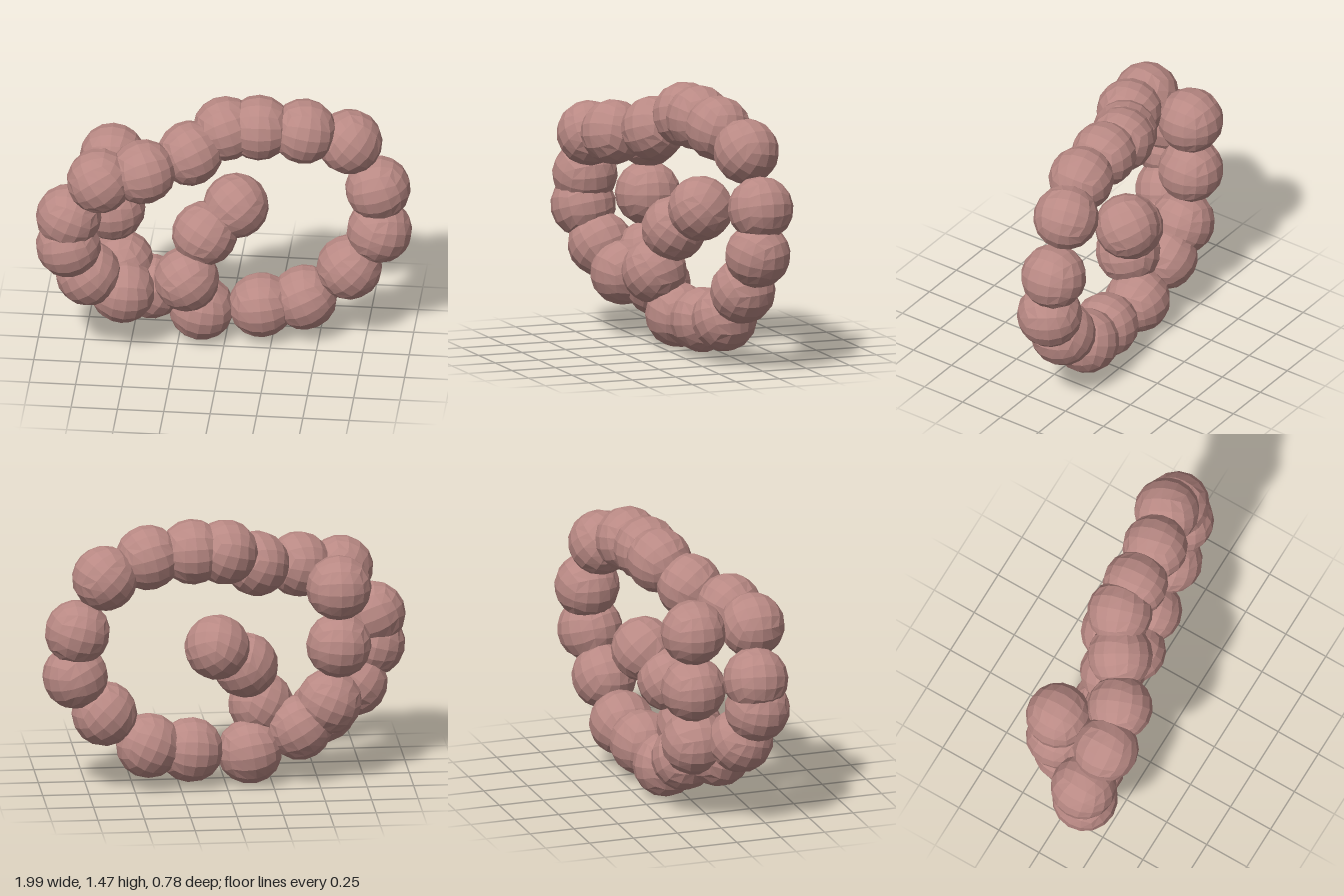
import * as THREE from 'three';
import { mergeVertices } from 'three/addons/utils/BufferGeometryUtils.js';

const RADIUS = 0.177;

// Bead centres along the open, overlapping strand, from the inner end to the outer end
const CENTRES = [
  [0.05, 0.78, -0.16], [-0.11, 0.65, -0.07], [-0.2, 0.41, 0.01],
  [-0.54, 0.35, 0.06], [-0.72, 0.48, 0.12], [-0.82, 0.68, 0.18],
  [-0.82, 0.85, 0.17], [-0.65, 1.1, 0.21], [-0.42, 1.14, 0.16],
  [-0.18, 1.19, 0.02], [0, 1.29, -0.09], [0.18, 1.3, -0.1],
  [0.42, 1.28, -0.12], [0.66, 1.19, -0.19], [0.81, 0.9, -0.215],
  [0.82, 0.65, -0.195], [0.66, 0.43, -0.17], [0.42, 0.24, -0.155],
  [0.19, 0.2, -0.12], [-0.13, 0.177, -0.1], [-0.4, 0.3, -0.09],
  [-0.56, 0.44, -0.09], [-0.61, 0.76, -0.11], [-0.61, 1.08, -0.11],
].map((c) => new THREE.Vector3(...c));

// Low-poly ball: a subdivided cube pushed out to a sphere
function beadGeometry() {
  let g = new THREE.BoxGeometry(2, 2, 2, 4, 4, 4);
  g.deleteAttribute('uv');
  g.deleteAttribute('normal');
  g = mergeVertices(g);
  const p = g.attributes.position;
  const v = new THREE.Vector3();
  for (let i = 0; i < p.count; i++) {
    v.fromBufferAttribute(p, i);
    // tan spacing keeps the facets even
    v.set(...v.toArray().map((t) => Math.tan((t * Math.PI) / 4)));
    v.setLength(RADIUS);
    p.setXYZ(i, v.x, v.y, v.z);
  }
  g.computeVertexNormals();
  return g;
}

export function createModel() {
  const strand = new THREE.Group();
  strand.name = 'beadStrand';
  const geometry = beadGeometry();
  const material = new THREE.MeshStandardMaterial({ color: 0xb98984, flatShading: true });
  const up = new THREE.Vector3(0, 1, 0);

  CENTRES.forEach((centre, i) => {
    const bead = new THREE.Mesh(geometry, material);
    bead.name = `bead${i + 1}`;
    bead.position.copy(centre);
    // Each bead lines up with the direction of the strand
    const before = CENTRES[Math.max(i - 1, 0)];
    const after = CENTRES[Math.min(i + 1, CENTRES.length - 1)];
    const along = after.clone().sub(before).normalize();
    bead.quaternion.setFromUnitVectors(up, along);
    strand.add(bead);
  });
  return strand;
}
